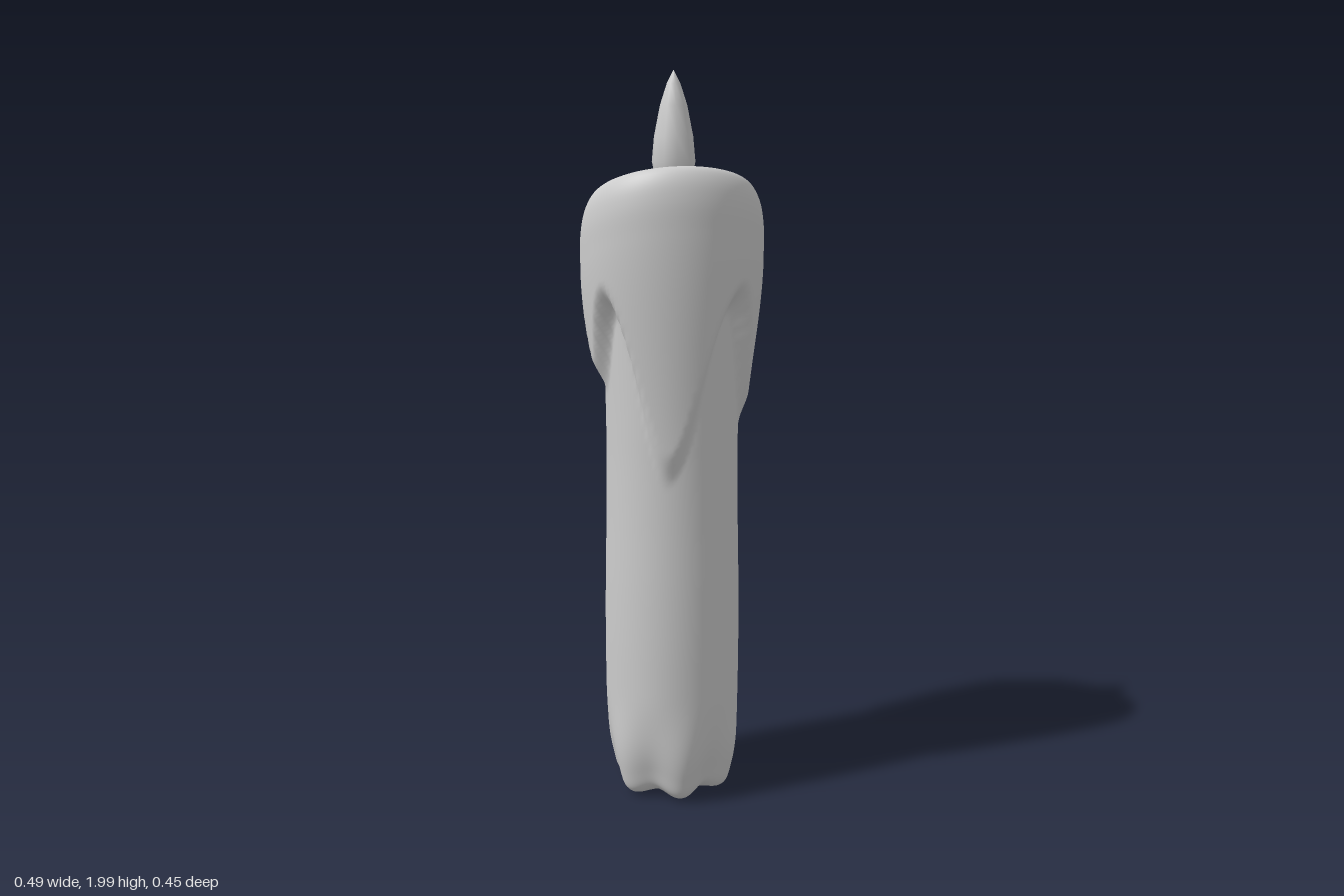
import * as THREE from 'three';

const { smoothstep, degToRad } = THREE.MathUtils;
const COLS = 112;
const material = new THREE.MeshStandardMaterial({ color: 0xcccccc });

// Lower edge of the melted wax: [angle from the front towards +x, height]
const DRIPS = [
  [-60, 1.38], [-14, 0.94], [42, 1.39], [76, 1.07], [120, 1.38],
  [206, 0.96], [250, 1.38], [276, 1.17], [300, 1.38],
];

function dripEdge(deg) {
  const a = deg > 300 ? deg - 360 : deg;
  const k = Math.max(1, DRIPS.findIndex(([d]) => d >= a));
  const [a0, y0] = DRIPS[k - 1], [a1, y1] = DRIPS[k];
  const t = (1 - Math.cos(Math.PI * (a - a0) / (a1 - a0))) / 2;
  return y0 + (y1 - y0) * t;
}

const curve = (pts, n) =>
  new THREE.SplineCurve(pts.map(([r, y]) => new THREE.Vector2(r, y))).getPoints(n);

// Shaft, melted coat, rounded rim and bowl as one continuous skin
function candleGeometry() {
  const shaft = curve([
    [0.001, 0.015], [0.1, 0.008], [0.145, 0.02], [0.165, 0.07], [0.183, 0.18], [0.187, 0.4],
    [0.186, 0.6], [0.182, 0.8], [0.18, 0.95], [0.18, 1.05], [0.18, 1.15],
    [0.18, 1.25], [0.18, 1.35], [0.182, 1.45], [0.19, 1.52],
  ], 130);
  const rim = curve([
    [0.236, -0.17], [0.235, -0.11], [0.226, -0.055], [0.207, -0.015], [0.182, 0],
    [0.157, -0.013], [0.137, -0.05], [0.122, -0.1], [0.1, -0.15], [0.06, -0.18], [0.001, -0.19],
  ], 40).slice(1);

  const pos = [], index = [];
  const addRow = (point) => {
    for (let j = 0; j < COLS; j++) {
      const a = (j / COLS) * Math.PI * 2;
      const [r, y, s] = point(a);
      // the melted top is slightly wider than deep
      pos.push(r * Math.sin(a) * (1 + 0.04 * s), y, r * Math.cos(a) * (1 - 0.045 * s));
    }
  };

  for (const p of shaft) {
    addRow((a) => {
      const y = p.y + 0.4 * 0.225 * Math.cos(a) * smoothstep(p.y, 0.85, 1.52);
      // lobed foot
      const foot = 1 - smoothstep(p.y, 0.03, 0.32);
      const lobe = Math.cos(6 * a) * foot;
      const core = p.x * (1 + 0.06 * lobe);
      const lift = 0.012 * (1 - lobe) * foot * smoothstep(p.x, 0.06, 0.15);
      // wax coat with drips
      const edge = dripEdge((a * 180) / Math.PI);
      const coat = smoothstep(y, edge - 0.02, edge + 0.08);
      const melted = 0.198 + 0.038 * smoothstep(p.y, 0.98, 1.5);
      return [core + (melted - core) * coat, y + lift, smoothstep(p.y, 1, 1.5)];
    });
  }
  for (const p of rim) {
    addRow((a) => [p.x, 1.69 + p.y + 0.4 * p.x * 0.955 * Math.cos(a), 1]);
  }

  const rows = pos.length / 3 / COLS;
  for (let i = 0; i < rows - 1; i++) {
    for (let j = 0; j < COLS; j++) {
      const k = (j + 1) % COLS;
      const p = i * COLS + j, q = i * COLS + k;
      index.push(p, q, q + COLS, p, q + COLS, p + COLS);
    }
  }
  const geometry = new THREE.BufferGeometry();
  geometry.setAttribute('position', new THREE.Float32BufferAttribute(pos, 3));
  geometry.setIndex(index);
  geometry.computeVertexNormals();
  return geometry;
}

export function createModel() {
  const group = new THREE.Group();
  const add = (name, geometry) => {
    const mesh = new THREE.Mesh(geometry, material);
    mesh.name = name;
    group.add(mesh);
    return mesh;
  };

  add('candle', candleGeometry());

  const wick = add('wick', new THREE.CylinderGeometry(0.013, 0.013, 0.24, 10));
  wick.position.set(0.002, 1.6, 0.011);

  // Ten-sided teardrop flame
  const flameProfile = [
    [0, 1.68], [0.025, 1.685], [0.046, 1.71], [0.058, 1.765],
    [0.052, 1.83], [0.036, 1.91], [0.018, 1.965], [0, 2],
  ].map(([r, y]) => new THREE.Vector2(r, y));
  const flame = add('flame', new THREE.LatheGeometry(flameProfile, 10));
  flame.position.set(0.002, 0, 0.011);

  return group;
}
